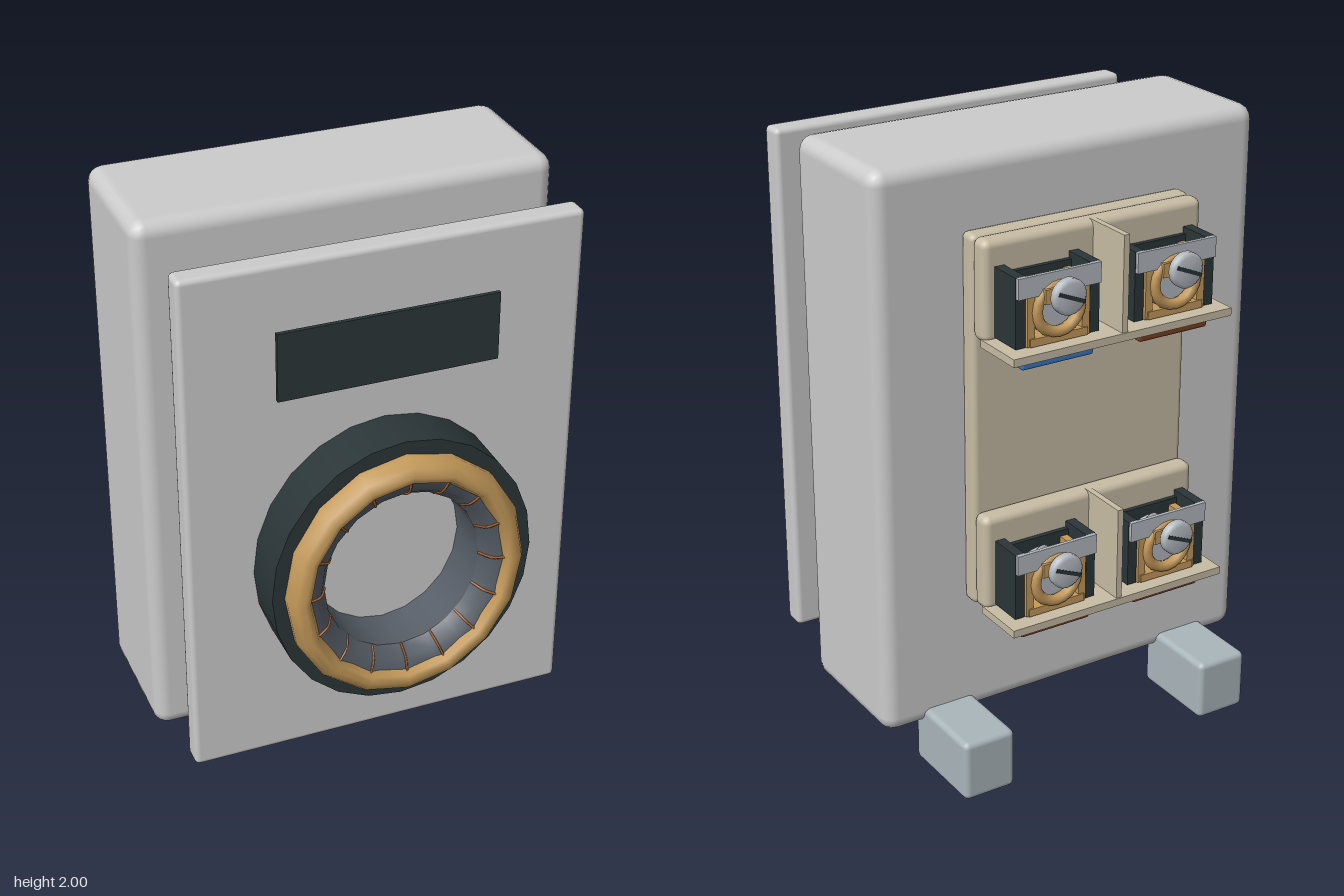
import * as THREE from 'three';
import { RoundedBoxGeometry } from 'three/addons/geometries/RoundedBoxGeometry.js';

const mat = (color, side = THREE.FrontSide) => new THREE.MeshStandardMaterial({ color, side });
const M = {
  shell: mat(0xcccccc), dark: mat(0x2b3638), gold: mat(0xc49a5a), beige: mat(0xc8bda5),
  liner: mat(0x565d66, THREE.DoubleSide), copper: mat(0xa8622f), steel: mat(0xb4bac0),
  foot: mat(0xaab6bb), blue: mat(0x3a78c0), brown: mat(0x7a4020),
};

function add(parent, name, geometry, material, x = 0, y = 0, z = 0) {
  const mesh = new THREE.Mesh(geometry, material);
  mesh.name = name;
  mesh.position.set(x, y, z);
  parent.add(mesh);
  return mesh;
}

// Box given by its limits on each axis; r > 0 rounds the edges
function block(parent, name, material, [x0, x1], [y0, y1], [z0, z1], r = 0) {
  const s = [x1 - x0, y1 - y0, z1 - z0];
  const g = r ? new RoundedBoxGeometry(...s, 2, r) : new THREE.BoxGeometry(...s);
  return add(parent, name, g, material, (x0 + x1) / 2, (y0 + y1) / 2, (z0 + z1) / 2);
}

// Lathe whose axis is z; points are [radius, z]
function latheZ(points, sides) {
  return new THREE.LatheGeometry(points.map(p => new THREE.Vector2(...p)), sides).rotateX(Math.PI / 2);
}

// Current-sensing ring on the front panel, slightly taller than wide
function sensorRing() {
  const ring = new THREE.Group();
  ring.name = 'sensorRing';
  ring.position.set(0, 0.91, 0);
  ring.scale.y = 1.09;
  const both = m => { const c = m.clone(); c.side = THREE.DoubleSide; return c; };
  const dark = both(M.dark);
  add(ring, 'ringWall', latheZ([[0.43, 0.42], [0.43, 0.585]], 24), dark);
  add(ring, 'ringFace', latheZ([[0.43, 0.585], [0.3, 0.585]], 24), dark);
  add(ring, 'ringCoil', latheZ([[0.39, 0.58], [0.392, 0.61], [0.375, 0.642], [0.35, 0.655],
    [0.33, 0.648], [0.318, 0.625], [0.318, 0.58]], 16), both(M.gold));
  add(ring, 'ringLinerSlope', latheZ([[0.322, 0.628], [0.285, 0.615], [0.258, 0.575]], 20), M.liner);
  add(ring, 'ringLinerWall', latheZ([[0.258, 0.575], [0.255, 0.42]], 20), M.liner);
  // Fine windings across the sloping liner
  for (let i = 0; i < 16; i++) {
    const turn = new THREE.Group();
    turn.name = 'winding';
    turn.rotation.z = (i / 16) * Math.PI * 2;
    const path = new THREE.CatmullRomCurve3([[0.322, 0.63], [0.285, 0.617], [0.257, 0.575]]
      .map(([r, z]) => new THREE.Vector3(r, 0, z)));
    add(turn, 'windingWire', new THREE.TubeGeometry(path, 6, 0.004, 5), M.copper);
    ring.add(turn);
  }
  return ring;
}

// Slotted screw pointing into the terminal, head towards -z
function screw() {
  const g = new THREE.Group();
  g.name = 'screw';
  const cyl = (r, len) => new THREE.CylinderGeometry(r, r, len, 20).rotateX(Math.PI / 2);
  add(g, 'screwHead', latheZ([[0, -0.66], [0.045, -0.66], [0.056, -0.65], [0.056, -0.63], [0.05, -0.622], [0, -0.622]], 20), M.steel);
  const slot = add(g, 'screwSlot', new THREE.BoxGeometry(0.095, 0.012, 0.004), M.dark, 0, 0, -0.66);
  slot.rotation.z = 0.4;
  add(g, 'screwShank', cyl(0.02, 0.13), M.steel, 0, 0, -0.565);
  for (let i = 0; i < 6; i++) {
    const thread = add(g, 'screwThread', new THREE.TorusGeometry(0.022, 0.007, 5, 14), M.steel, 0, 0, -0.51 - i * 0.018);
    thread.rotation.y = 0.12;
  }
  return g;
}

// One clamp: dark cheeks, brass sides and washer, steel core and screw
function terminal() {
  const g = new THREE.Group();
  g.name = 'terminal';
  for (const s of [-1, 1]) {
    const span = (a, b) => s > 0 ? [a, b] : [-b, -a];
    block(g, 'cheek', M.dark, span(0.112, 0.145), [0.02, 0.24], [-0.585, -0.465]);
    block(g, 'brassSide', M.gold, span(0.082, 0.108), [0.02, 0.2], [-0.59, -0.465]);
  }
  block(g, 'backWall', M.dark, [-0.115, 0.115], [0.02, 0.22], [-0.485, -0.465]);
  add(g, 'core', new THREE.CylinderGeometry(0.077, 0.077, 0.1, 20).rotateX(Math.PI / 2), M.steel, 0, 0.11, -0.52);
  block(g, 'topPlate', M.steel, [-0.143, 0.143], [0.175, 0.24], [-0.597, -0.585]);
  block(g, 'brassFoot', M.gold, [-0.1, 0.1], [0.02, 0.045], [-0.595, -0.485]);
  add(g, 'washer', new THREE.TorusGeometry(0.075, 0.018, 8, 20), M.gold, 0, 0.125, -0.588);
  block(g, 'brassTab', M.gold, [-0.06, 0.06], [0.15, 0.195], [-0.612, -0.597]);
  const s = screw();
  s.position.y = 0.175;
  g.add(s);
  return g;
}

// A row of two terminals on a ledge, with a fin between them
function terminalRow(y, leftColor, rightColor) {
  const g = new THREE.Group();
  g.name = 'terminalRow';
  g.position.y = y;
  block(g, 'rowBase', M.beige, [-0.39, 0.39], [0, 0.32], [-0.47, -0.4], 0.025);
  block(g, 'ledge', M.beige, [-0.39, 0.39], [-0.01, 0.015], [-0.635, -0.45]);
  block(g, 'fin', M.beige, [-0.01, 0.01], [0, 0.32], [-0.63, -0.44]);
  for (const s of [-1, 1]) {
    const t = terminal();
    t.position.x = 0.208 * s;
    g.add(t);
    const x = 0.208 * s;
    block(g, 'colourTab', s > 0 ? leftColor : rightColor, [x - 0.125, x + 0.125], [-0.05, -0.005], [-0.59, -0.52], 0.008);
  }
  return g;
}

export function createModel() {
  const model = new THREE.Group();
  model.name = 'meterUnit';

  // Housing and the separate front panel
  block(model, 'housing', M.shell, [-0.683, 0.683], [0.15, 2], [-0.347, 0.137], 0.05);
  block(model, 'frontPanel', M.shell, [-0.642, 0.642], [0.205, 1.95], [0.342, 0.422], 0.018);
  block(model, 'display', M.dark, [-0.355, 0.355], [1.52, 1.745], [0.442, 0.456]);
  model.add(sensorRing());

  // Rear mounting plate with two terminal rows
  block(model, 'mountingPlate', M.beige, [-0.39, 0.39], [0.565, 1.78], [-0.405, -0.34], 0.02);
  model.add(terminalRow(1.46, M.blue, M.brown));
  model.add(terminalRow(0.57, M.brown, M.brown));

  // Rear feet
  for (const s of [-1, 1])
    block(model, 'foot', M.foot, s > 0 ? [0.36, 0.542] : [-0.542, -0.36], [0, 0.205], [-0.597, -0.285], 0.02);

  return model;
}
